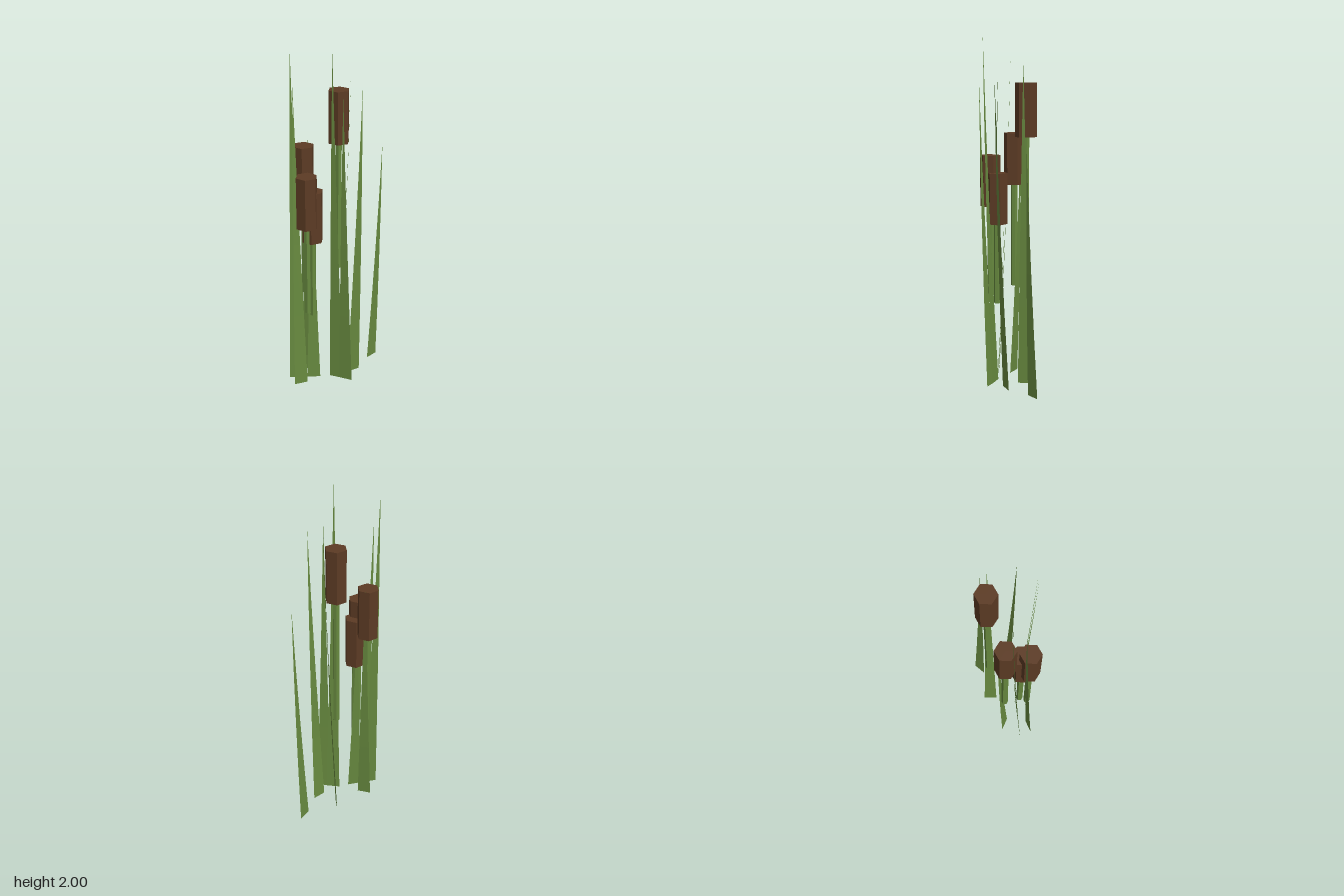
import * as THREE from 'three';

const green = new THREE.MeshStandardMaterial({ color: 0x67893f, flatShading: true, side: THREE.DoubleSide });
green.name = 'reed green';
const brown = new THREE.MeshStandardMaterial({ color: 0x5c3b24, flatShading: true });
brown.name = 'seed head brown';

// Tapered leaf: two base corners [x, z], rising to a leaning tip [x, y, z]
function makeLeaf([ax, az], [bx, bz], [tx, ty, tz], rows = 4) {
  const mx = (ax + bx) / 2, mz = (az + bz) / 2;
  const pos = [], index = [];
  for (let i = 0; i <= rows; i++) {
    const t = i / rows, w = 1 - t, lean = 1.4 * t - 0.4 * t * t;
    const cx = mx + (tx - mx) * lean, cz = mz + (tz - mz) * lean;
    pos.push(cx + (ax - mx) * w, ty * t, cz + (az - mz) * w);
    pos.push(cx + (bx - mx) * w, ty * t, cz + (bz - mz) * w);
    if (i < rows) {
      const k = i * 2;
      index.push(k, k + 1, k + 2);
      if (i < rows - 1) index.push(k + 1, k + 3, k + 2);
    }
  }
  const g = new THREE.BufferGeometry();
  g.setAttribute('position', new THREE.Float32BufferAttribute(pos, 3));
  g.setIndex(index);
  g.computeVertexNormals();
  const leaf = new THREE.Mesh(g, green);
  leaf.name = 'leaf';
  return leaf;
}

// Six-sided upright rod between two heights
function makeRod(name, radius, x, z, y0, y1, material) {
  const rod = new THREE.Mesh(new THREE.CylinderGeometry(radius, radius, y1 - y0, 6), material);
  rod.position.set(x, (y0 + y1) / 2, z);
  rod.name = name;
  return rod;
}

export function createModel() {
  const model = new THREE.Group();
  model.name = 'cattails';

  // Leaves: base corner, base corner, tip
  const leaves = [
    [[0.205, 0.12], [0.283, 0.133], [0.235, 1.42, 0.175]],
    [[0.005, 0.107], [0.08, 0.141], [0.015, 1.79, 0.182]],
    [[0.038, 0.012], [0.107, -0.03], [0.105, 1.86, 0.047]],
    [[-0.088, 0.043], [-0.065, 0.122], [-0.145, 2.0, 0.1]],
    [[-0.072, 0.1], [-0.053, 0.178], [-0.125, 1.78, 0.155]],
    [[-0.245, -0.145], [-0.195, -0.083], [-0.163, 1.98, -0.158]],
    [[-0.285, -0.075], [-0.219, -0.029], [-0.215, 1.81, -0.105]],
    [[-0.114, -0.16], [-0.102, -0.08], [-0.057, 1.47, -0.128]],
    [[-0.18, -0.062], [-0.13, 0.0], [-0.12, 1.2, -0.058]],
  ];
  for (const leaf of leaves) model.add(makeLeaf(...leaf));

  // Stalks: x, z, stem bottom, head bottom
  const stalks = [
    [-0.208, -0.027, 0.48, 1.02],
    [-0.157, -0.027, 0.44, 0.92],
    [-0.107, -0.123, 0.54, 1.15],
    [0.075, -0.012, 0.66, 1.44],
  ];
  for (const [x, z, stemY, headY] of stalks) {
    const stalk = new THREE.Group();
    stalk.name = 'stalk';
    stalk.add(makeRod('stem', 0.019, x, z, stemY, headY + 0.02, green));
    stalk.add(makeRod('seedHead', 0.0615, x, z, headY, headY + 0.3, brown));
    model.add(stalk);
  }
  return model;
}
